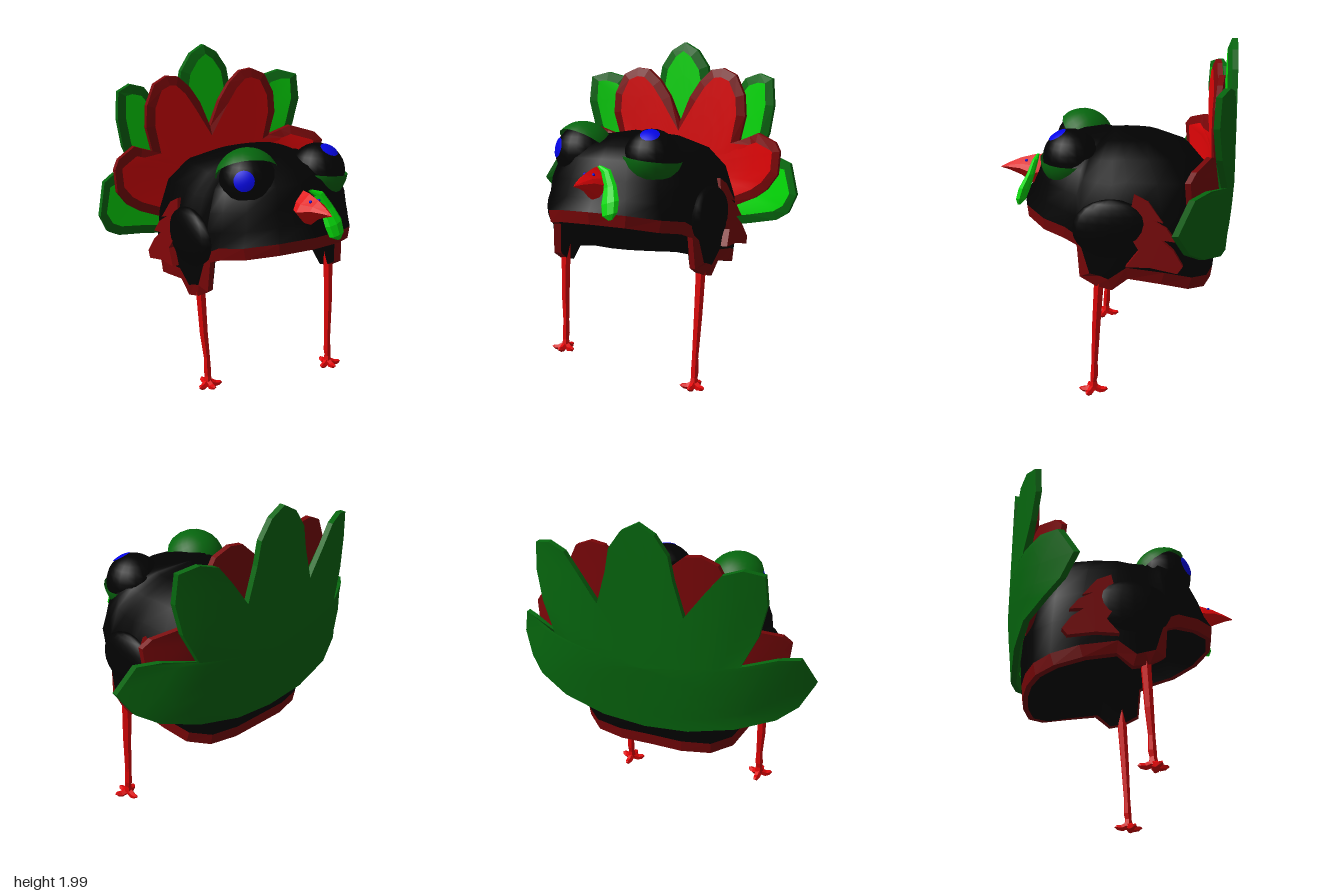
import * as THREE from 'three';

const mat = (name, color) => {
  const m = new THREE.MeshStandardMaterial({ color, side: THREE.DoubleSide });
  m.name = name;
  return m;
};
const black = mat('black', 0x020202);
const red = mat('red', 0xe00406);
const darkRed = mat('dark red', 0x7a0608);
const green = mat('bright green', 0x04dc08);
const darkGreen = mat('dark green', 0x06660e);
const blue = mat('blue', 0x0404e6);

// Skin over closed rings of equal length
function loft(rings, smooth = false) {
  const n = rings[0].length, index = [];
  for (let r = 0; r < rings.length - 1; r++)
    for (let i = 0; i < n; i++) {
      const a = r * n + i, b = r * n + (i + 1) % n;
      index.push(a, b, b + n, a, b + n, a + n);
    }
  let g = new THREE.BufferGeometry();
  g.setAttribute('position', new THREE.Float32BufferAttribute(rings.flat(2), 3));
  g.setIndex(index);
  if (!smooth) g = g.toNonIndexed();
  g.computeVertexNormals();
  return g;
}

function add(parent, name, geometry, material, position = [0, 0, 0]) {
  const m = new THREE.Mesh(geometry, material);
  m.name = name;
  m.position.set(...position);
  parent.add(m);
  return m;
}

// Close a half outline that starts and ends on x = 0
const mirror = half => [...half, ...half.slice(1, -1).reverse().map(([x, ...r]) => [-x, ...r])];

// Tapered limb with rings of [x, y, z, radius]
const limb = (path, sides = 6) => loft(path.map(([x, y, z, r]) =>
  Array.from({ length: sides }, (_, i) => {
    const a = i / sides * Math.PI * 2;
    return [x + r * Math.cos(a), y, z + r * Math.sin(a)];
  })));

// Lower edge of the hat, front to back
const RIM = mirror([
  [0, 1.01, .53], [.2, 1, .49], [.35, .97, .38], [.43, .95, .26], [.46, .92, .185],
  [.47, .74, .17], [.48, .69, .08], [.49, .67, -.01], [.49, .74, -.1], [.48, .71, -.28],
  [.44, .67, -.43], [.34, .65, -.52], [.18, .65, -.56], [0, .66, -.57]]);

function buildBody(g) {
  // Ring at height fraction h, shrunk separately at front, side and back
  const ring = (h, front, side, back) => RIM.map(([x, y, z]) => {
    const w = Math.min(1, (z / (z > 0 ? .53 : .57)) ** 2);
    const f = side + ((z > 0 ? front : back) - side) * w;
    return [x * f, y + (1.49 - y) * h, z * f];
  });
  // Trim band, measured square to the rim
  const n = RIM.length;
  const band = RIM.map((p, i) => {
    const a = RIM[(i + n - 1) % n], b = RIM[(i + 1) % n];
    const t = new THREE.Vector3(b[0] - a[0], b[1] - a[1], b[2] - a[2]);
    const out = new THREE.Vector3(p[0] * 1.2, 0, p[2]).normalize();
    const up = t.cross(out).normalize();
    if (up.y < 0) up.negate();
    return [p[0] * 1.02 + up.x * .07, p[1] + up.y * .07, p[2] * 1.02 + up.z * .07];
  });
  const lip = ring(0, .95, .91, .95);
  add(g, 'rimTrim', loft([lip, RIM, band]), darkRed);
  add(g, 'bodyDome', loft([band, ring(.3, .92, 1.03, 1.05), ring(.5, .85, 1.01, 1.01),
    ring(.72, .76, .91, .92), ring(.86, .62, .72, .75), ring(.95, .38, .42, .45),
    ring(1, 0, 0, 0)], true), black);
  add(g, 'lining', loft([lip, ring(.22, .84, .86, .86),
    ring(.4, .5, .5, .5), ring(.45, 0, 0, 0)], true), black);
}

// Scalloped tail fan: bent plate, sloped border and inner face
function buildFan(g, name, half, z0, k, depth, edge, inner) {
  const out = mirror(half), n = out.length;
  const inset = out.map(([x, y], i) => {
    const a = out[(i + n - 1) % n], b = out[(i + 1) % n];
    const tx = b[0] - a[0], ty = b[1] - a[1], l = Math.hypot(tx, ty);
    return [x - ty / l * -.055, y + tx / l * -.055].map((v, j) => j ? v : x + ty / l * .055);
  });
  const ring = (pts, s, d) => pts.map(([px, py]) => {
    const x = px * s, y = 1.2 + (py - 1.2) * s;
    return [x, y, z0 + k * Math.abs(x) ** 3.4 + .1 * Math.max(0, 1.2 - y) + d];
  });
  const steps = [1, .8, .6, .4, .2, 0];
  add(g, name + 'Back', loft(steps.map(s => ring(out, s, 0)).reverse(), true), edge);
  add(g, name + 'Border', loft([ring(out, 1, 0), ring(out, 1, depth * .6), ring(inset, 1, depth)]), edge);
  add(g, name + 'Face', loft(steps.map(s => ring(inset, s, depth)), true), inner);
}

// Part of a sphere whose pole points along dir
function cap(g, name, material, centre, r, dir, from, to) {
  const m = add(g, name, new THREE.SphereGeometry(r, 20, 8, 0, Math.PI * 2, from, to - from), material, centre);
  m.quaternion.setFromUnitVectors(new THREE.Vector3(0, 1, 0), new THREE.Vector3(...dir).normalize());
}

function buildFace(g) {
  const L = [.23, 1.36, .235], R = [-.23, 1.365, .215];
  for (const [side, c] of [['left', L], ['right', R]])
    add(g, side + 'Eye', new THREE.SphereGeometry(.16, 20, 14), black, c);
  cap(g, 'leftPupil', blue, L, .164, [.025, .125, .07], 0, .34);
  cap(g, 'rightPupil', blue, R, .164, [-.1, .035, .12], 0, .36);
  cap(g, 'leftLowerLid', darkGreen, L, .175, [-.12, -1, .02], .75, 1.57);
  cap(g, 'rightUpperLid', darkGreen, R, .182, [.2, .8, -.55], 0, 1.32);

  // Beak from diamond-like sections: z, half width, bottom, top
  add(g, 'beak', loft([[.42, .08, 1.15, 1.32], [.48, .09, 1.13, 1.315], [.56, .055, 1.19, 1.295],
    [.63, .025, 1.22, 1.265], [.68, 0, 1.235, 1.24]].map(([z, w, lo, hi]) => {
    const m = (lo + hi) / 2, q = (hi - lo) * .22;
    return [[0, hi, z], [w * .7, m + q, z], [w, m, z], [w * .4, lo + q * .6, z], [0, lo, z],
      [-w * .4, lo + q * .6, z], [-w, m, z], [-w * .7, m + q, z]];
  })), red);
  for (const s of [-1, 1])
    add(g, 'nostril', new THREE.SphereGeometry(.009, 8, 6), blue, [s * .028, 1.284, .525]);

  // Drooping wattle beside the beak
  add(g, 'wattle', loft([[.02, 1.325, .455, .012], [.07, 1.3, .465, .03], [.11, 1.22, .49, .04],
    [.13, 1.14, .525, .055], [.14, 1.08, .545, .048], [.15, 1.05, .555, .012]].map(([x, y, z, r]) =>
    Array.from({ length: 8 }, (_, i) => {
      const a = i / 8 * Math.PI * 2;
      return [x + r * Math.cos(a), y + r * .3 * Math.cos(a), z + r * .6 * Math.sin(a)];
    }))), green);
}

function buildWing(g, s) {
  const wing = new THREE.Group();
  wing.name = s > 0 ? 'leftWing' : 'rightWing';
  g.add(wing);
  const shoulder = add(wing, 'wingShoulder', new THREE.SphereGeometry(1, 18, 12), black, [s * .475, 1.02, -.01]);
  shoulder.scale.set(.066, .17, .22);
  // Ragged feathers drawn as (z, y), then leaned against the flank
  const shape = new THREE.Shape([[-.13, 1.22], [-.21, 1.18], [-.29, 1.07], [-.23, 1.09], [-.31, 1.04],
    [-.36, .97], [-.28, .98], [-.35, .92], [-.4, .84], [-.37, .8], [-.22, .83], [-.09, .83],
    [-.16, .92], [-.11, 1], [-.17, 1.06], [-.11, 1.12]].map(p => new THREE.Vector2(...p)));
  const geo = new THREE.ExtrudeGeometry(shape, { depth: .04, bevelEnabled: false });
  const p = geo.attributes.position;
  for (let i = 0; i < p.count; i++) {
    const z = p.getX(i), y = p.getY(i), d = p.getZ(i);
    p.setXYZ(i, s * (.447 + d + .17 * (1.2 - y)), y, z);
  }
  geo.computeVertexNormals();
  add(wing, 'wingFeathers', geo, darkRed);
}

function buildLeg(g, s, foot) {
  const leg = new THREE.Group();
  leg.name = s > 0 ? 'leftLeg' : 'rightLeg';
  g.add(leg);
  const x = s * .44;
  add(leg, 'shin', limb([[s * .455, .78, .06, .03], [s * .455, .68, .065, .03], [s * .45, .45, .08, .026],
    [x, foot + .2, .093, .02], [x, foot + .12, .095, .024], [x, foot + .085, .1, .02],
    [x, foot + .04, .1, .03], [x, foot + .02, .1, 0]]), red);
  // Three toes forward, one back
  for (const a of [-1.15, 0, 1.15, Math.PI]) {
    const toe = add(leg, 'toe', limb([[0, 0, 0, .022], [0, .045, .006, .02], [0, .07, -.004, .016],
      [0, .085, -.012, 0]], 5), red, [x, foot + .05, .1]);
    toe.rotation.set(Math.PI / 2 + .3, a, 0, 'YXZ');
  }
}

export function createModel() {
  const g = new THREE.Group();
  g.name = 'turkeyHat';
  buildBody(g);
  buildFace(g);
  buildFan(g, 'greenFan', [[0, 2], [.09, 1.95], [.16, 1.85], [.185, 1.72], [.24, 1.53], [.35, 1.68],
    [.43, 1.78], [.53, 1.81], [.63, 1.78], [.645, 1.62], [.61, 1.45], [.53, 1.28], [.7, 1.31],
    [.8, 1.29], [.87, 1.12], [.8, 1], [.7, .94], [.5, .89], [.25, .84], [0, .82]],
  -.68, .48, .055, darkGreen, green);
  buildFan(g, 'redFan', [[0, 1.5], [.07, 1.66], [.14, 1.76], [.22, 1.83], [.3, 1.84], [.39, 1.8],
    [.45, 1.68], [.46, 1.55], [.42, 1.4], [.5, 1.43], [.56, 1.455], [.7, 1.41], [.74, 1.36],
    [.725, 1.22], [.64, 1.12], [.55, 1.06], [.3, .95], [0, .92]],
  -.61, .5, .05, darkRed, red);
  for (const s of [1, -1]) {
    buildWing(g, s);
    buildLeg(g, s, s > 0 ? 0 : .1);
  }
  return g;
}
